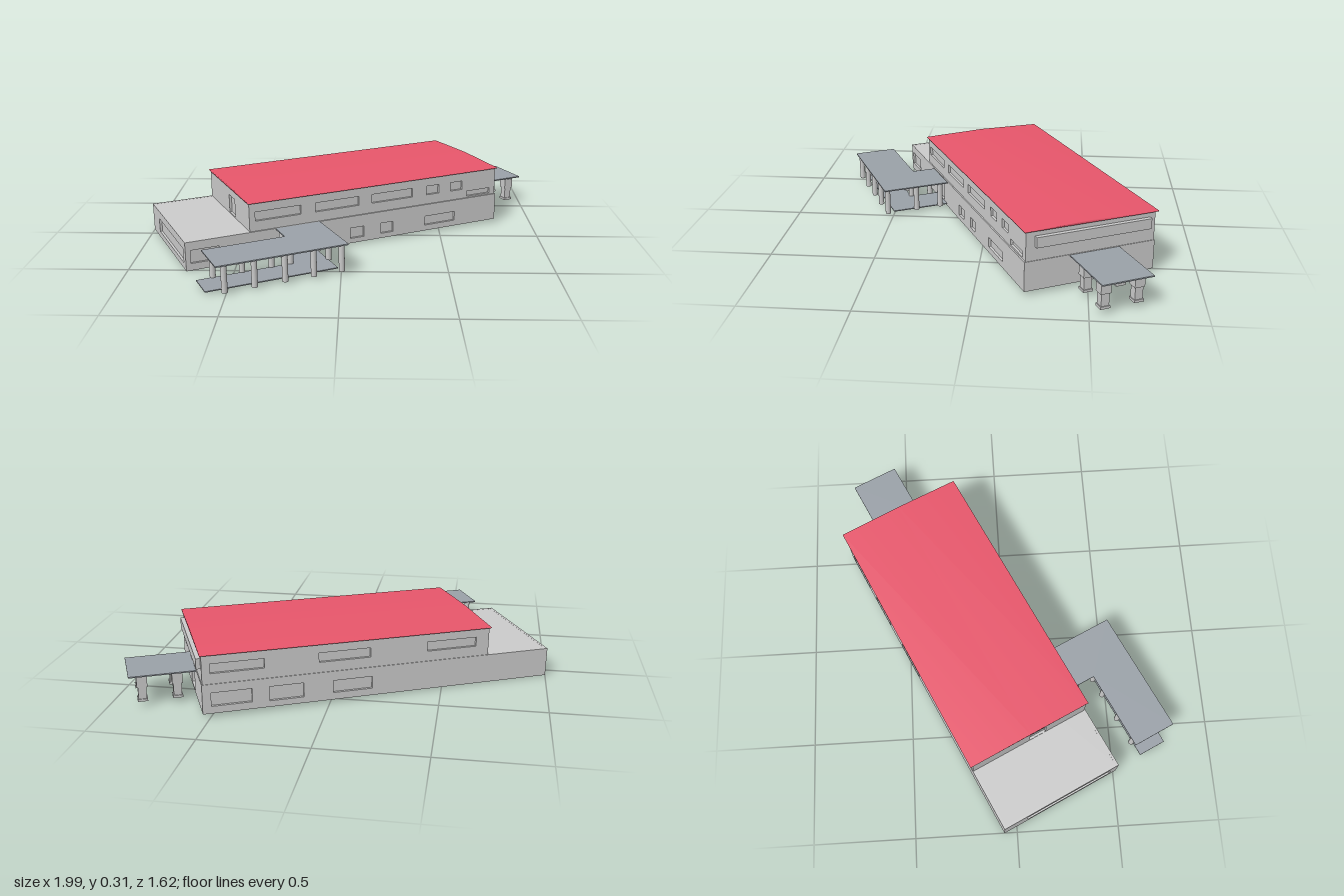
import * as THREE from 'three';
import { mergeVertices } from 'three/addons/utils/BufferGeometryUtils.js';

const grey = new THREE.MeshStandardMaterial({ color: 0xcccccc });
const red = new THREE.MeshStandardMaterial({ color: 0xe8566b });
const slate = new THREE.MeshStandardMaterial({ color: 0x9aa1a8 });

function add(parent, name, geometry, material = grey) {
  const mesh = new THREE.Mesh(geometry, material);
  mesh.name = name;
  parent.add(mesh);
  return mesh;
}

// Box given by its limits on each axis
function box(parent, name, [x0, x1], [y0, y1], [z0, z1], material) {
  const mesh = add(parent, name, new THREE.BoxGeometry(x1 - x0, y1 - y0, z1 - z0), material);
  mesh.position.set((x0 + x1) / 2, (y0 + y1) / 2, (z0 + z1) / 2);
  return mesh;
}

function outline(points) {
  return points.map(([x, y]) => new THREE.Vector2(x, y));
}

function rect(x0, x1, y0, y1) {
  return outline([[x0, y0], [x1, y0], [x1, y1], [x0, y1]]);
}

// Thin wall with window openings [from, to, bottom, top], outer face on local z = 0
const THICK = 0.012;
function wallGeometry(a, b, y0, y1, openings) {
  const shape = new THREE.Shape(rect(a, b, y0, y1));
  for (const o of openings) shape.holes.push(new THREE.Path(rect(...o).reverse()));
  return new THREE.ExtrudeGeometry(shape, { depth: THICK, bevelEnabled: false }).translate(0, 0, -THICK);
}

// Storey: solid core behind four walls with recessed windows
function storey(parent, name, [x0, x1], [y0, y1], [z0, z1], windows) {
  const group = new THREE.Group();
  group.name = name;
  parent.add(group);
  box(group, 'core', [x0 + THICK, x1 - THICK], [y0 + 0.0005, y1 - 0.0005], [z0 + THICK, z1 - THICK]);
  const flip = (list = []) => list.map(([a, b, c, d]) => [-b, -a, c, d]);
  add(group, 'frontWall', wallGeometry(x0, x1, y0, y1, windows.front || [])).position.z = z1;
  const back = add(group, 'backWall', wallGeometry(-x1, -x0, y0, y1, flip(windows.back)));
  back.rotation.y = Math.PI;
  back.position.z = z0;
  const left = add(group, 'leftWall', wallGeometry(-z1, -z0, y0, y1, flip(windows.left)));
  left.rotation.y = Math.PI / 2;
  left.position.x = x1;
  const right = add(group, 'rightWall', wallGeometry(z0, z1, y0, y1, windows.right || []));
  right.rotation.y = -Math.PI / 2;
  right.position.x = x0;
}

// Flat slab from a plan outline in x and z
function slab(parent, name, points, y, thickness, material) {
  const shape = new THREE.Shape(outline(points.map(([x, z]) => [x, -z])));
  const geometry = new THREE.ExtrudeGeometry(shape, { depth: thickness, bevelEnabled: false });
  add(parent, name, geometry.rotateX(-Math.PI / 2), material).position.y = y;
}

export function createModel() {
  const model = new THREE.Group();
  model.name = 'schoolBuilding';
  const site = new THREE.Group();
  site.name = 'site';
  model.add(site);

  // Two storeys; the lower one runs on under an open terrace
  const EAVE = 0.282, FLOOR = 0.142;
  storey(site, 'lowerStorey', [-0.875, 0.825], [0, FLOOR], [-0.49, 0.15], {
    front: [[-0.85, -0.71, 0.035, 0.1], [-0.36, -0.27, 0.015, 0.115], [-0.03, 0.045, 0.025, 0.08],
      [0.14, 0.21, 0.025, 0.08], [0.396, 0.574, 0.03, 0.078]],
    back: [[0.6, 0.785, 0.035, 0.1], [0.36, 0.52, 0.03, 0.1], [0.03, 0.22, 0.035, 0.095]],
    left: [[-0.24, -0.13, 0.01, 0.1]],
    right: [[-0.36, 0.11, 0.03, 0.1]],
  });
  const high = (a, b) => [a, b, 0.192, 0.238];
  storey(site, 'upperStorey', [-0.555, 0.822], [FLOOR, EAVE], [-0.487, 0.143], {
    front: [high(-0.525, -0.29), high(-0.215, 0.022), high(0.093, 0.325), high(0.407, 0.48),
      high(0.55, 0.62), [0.65, 0.79, 0.15, 0.178]],
    back: [high(0.54, 0.785), high(0.04, 0.287), high(-0.49, -0.24)],
    right: [[-0.17, -0.08, 0.147, 0.24]],
  });

  // Very shallow gable roof with softly shaded edges
  const profile = new THREE.Shape(outline([
    [-0.15, EAVE], [0.5, EAVE], [0.5, EAVE + 0.004], [0.175, EAVE + 0.012], [-0.15, EAVE + 0.004],
  ]));
  let roof = new THREE.ExtrudeGeometry(profile, { depth: 1.39, bevelEnabled: false });
  roof.rotateY(Math.PI / 2).translate(-0.56, 0, 0);
  roof.deleteAttribute('normal');
  roof.deleteAttribute('uv');
  roof = mergeVertices(roof);
  roof.computeVertexNormals();
  add(site, 'roof', roof, red);

  // Blank sign band on the end wall
  box(site, 'signBand', [0.82, 0.842], [0.208, 0.258], [-0.46, 0.1]);

  // Covered walkway bending from the front wall towards the terrace end
  const walkway = new THREE.Group();
  walkway.name = 'coveredWalkway';
  site.add(walkway);
  slab(walkway, 'walkwayCanopy', [[-0.198, 0.155], [-0.198, 0.495], [-0.832, 0.495], [-0.832, 0.275],
    [-0.428, 0.275], [-0.428, 0.155]], 0.138, 0.006, slate);
  slab(walkway, 'walkwayFloor', [[-0.23, 0.15], [-0.23, 0.442], [-0.87, 0.442], [-0.87, 0.3],
    [-0.4, 0.3], [-0.4, 0.15]], 0.008, 0.005, slate);
  const post = new THREE.CylinderGeometry(0.014, 0.014, 0.13, 16).translate(0, 0.073, 0);
  const spots = [[-0.225, 0.32], [-0.225, 0.19], [-0.41, 0.19]];
  for (const x of [-0.79, -0.65, -0.505, -0.365, -0.225]) spots.push([x, 0.475]);
  for (const x of [-0.79, -0.65, -0.505, -0.41]) spots.push([x, 0.295]);
  for (const [x, z] of spots) add(walkway, 'walkwayPost', post).position.set(x, 0, z);

  // Entrance porch on four stepped piers
  const porch = new THREE.Group();
  porch.name = 'entrancePorch';
  site.add(porch);
  box(porch, 'porchCanopy', [0.822, 1.13], [0.134, 0.14], [-0.31, -0.066], slate);
  for (const x of [0.91, 1.07]) {
    for (const z of [-0.265, -0.105]) {
      const pier = (name, r, y0, y1) => box(porch, name, [x - r, x + r], [y0, y1], [z - r, z + r]);
      pier('pierShaft', 0.019, 0.004, 0.135);
      pier('pierFoot', 0.023, 0.004, 0.016);
      pier('pierCap', 0.024, 0.075, 0.126);
    }
  }

  // Turn the site on its plot and follow the slight slope of the ground
  site.rotation.set(0, 0.448, 0.011, 'YXZ');
  site.position.y = 0.01;
  return model;
}
